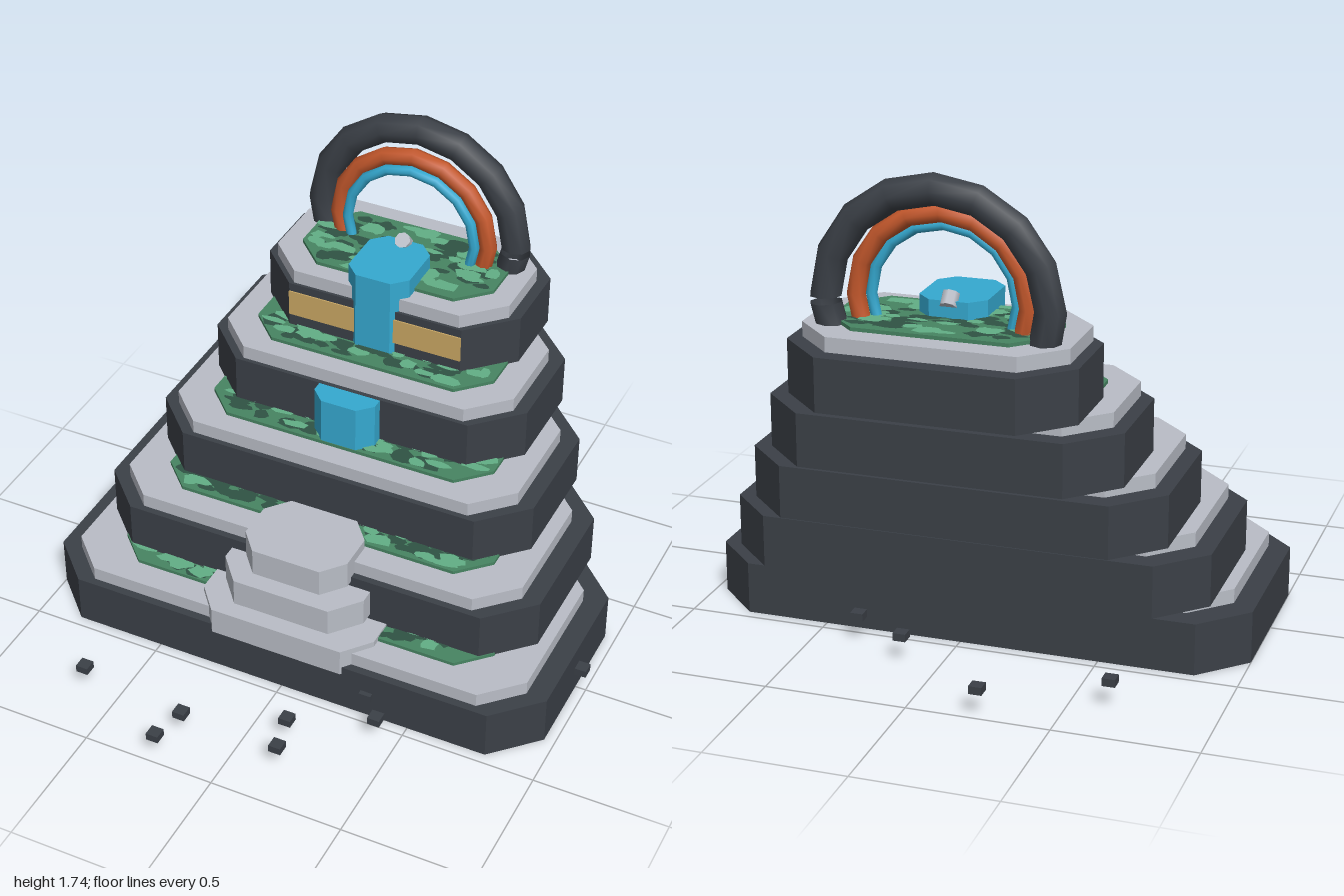
import * as THREE from 'three';
import { mergeGeometries } from 'three/addons/utils/BufferGeometryUtils.js';

const CX = -0.02; // symmetry line of the terraces

const mat = (name, color, extra = {}) => {
  const m = new THREE.MeshStandardMaterial({ color, ...extra });
  m.name = name;
  return m;
};

// Rectangle with cut corners, as [x, z] points around its own centre
function octagon(hx, hz, cx, cz = cx) {
  return [
    [hx, hz - cz], [hx - cx, hz], [cx - hx, hz], [-hx, hz - cz],
    [-hx, cz - hz], [cx - hx, -hz], [hx - cx, -hz], [hx, cz - hz],
  ];
}

// Upright prism on an octagonal plan, from y0 to y1
function slab(points, y0, y1) {
  const shape = new THREE.Shape(points.map(([x, z]) => new THREE.Vector2(x, -z)));
  const geo = new THREE.ExtrudeGeometry(shape, { depth: y1 - y0, bevelEnabled: false });
  return geo.rotateX(-Math.PI / 2).translate(0, y0, 0);
}

function seeded(seed) {
  return () => {
    seed = (seed * 16807) % 2147483647;
    return seed / 2147483647;
  };
}

// Irregular flat patches scattered inside an octagonal bed
function patches(hx, hz, c, y, count, rand) {
  const inside = (x, z) =>
    Math.abs(x) < hx && Math.abs(z) < hz && Math.abs(x) + Math.abs(z) < hx + hz - c;
  const list = [];
  for (let i = 0; i < count; i++) {
    const px = (rand() * 2 - 1) * hx, pz = (rand() * 2 - 1) * hz;
    const rx = 0.025 + rand() * 0.035, rz = 0.014 + rand() * 0.018;
    const pts = [];
    for (let k = 0; k < 9; k++) {
      const a = (k / 9) * Math.PI * 2, r = 0.7 + rand() * 0.5;
      pts.push(new THREE.Vector2(px + Math.cos(a) * rx * r, pz + Math.sin(a) * rz * r));
    }
    if (!pts.every((p) => inside(p.x, p.y))) continue;
    list.push(new THREE.ShapeGeometry(new THREE.Shape(pts)).rotateX(-Math.PI / 2));
  }
  return mergeGeometries(list).translate(0, y, 0);
}

export function createModel() {
  const model = new THREE.Group();
  model.name = 'terracedFountain';

  const wall = mat('charcoal', 0x3b4047);
  const stone = mat('pale stone', 0xb9bdc6);
  const grass = mat('grass green', 0x478462);
  const grassDark = mat('dark green', 0x2f5344);
  const grassLight = mat('light green', 0x62ae85);
  const water = mat('water blue', 0x35a9d0);
  const glass = mat('warm window', 0xc9a764);
  const copper = mat('orange', 0xc4582c);
  const ringDark = mat('ring charcoal', 0x3b4047, { side: THREE.DoubleSide });

  const add = (name, geo, material, x = 0, y = 0, z = 0, parent = model) => {
    const mesh = new THREE.Mesh(geo, material);
    mesh.name = name;
    mesh.position.set(x, y, z);
    parent.add(mesh);
    return mesh;
  };

  // Five terraces stepping up and back
  const rand = seeded(4711);
  for (let i = 0; i < 5; i++) {
    const tier = new THREE.Group();
    tier.name = 'terrace' + (i + 1);
    tier.position.set(CX, 0.2435 * i, -0.161 * i);
    model.add(tier);

    const hx = 0.98 - 0.12 * i, hz = 0.46 - 0.04 * i;
    add('terraceWall', slab(octagon(hx, hz, 0.16), 0, 0.188), wall, 0, 0, 0, tier);
    add('terraceCoping', slab(octagon(hx * 0.92, hz * 0.88, 0.135), 0.188, 0.24), stone, 0, 0, 0.025, tier);

    // Planted bed with mottled greens
    const gx = hx * 0.76, gz = hz * 0.62, gc = 0.11, zc = 0.7 * hz - gz + 0.008;
    add('plantedBed', slab(octagon(gx, gz, gc), 0.22, 0.253), grass, 0, 0, zc, tier);
    const n = Math.round(gx * gz * 1300);
    add('darkFoliage', patches(gx, gz, gc, 0.2555, n, rand), grassDark, 0, 0, zc, tier);
    add('lightFoliage', patches(gx, gz, gc, 0.258, Math.round(n * 0.6), rand), grassLight, 0, 0, zc, tier);
  }

  // Stone landings at the foot of the falls
  [
    { hx: 0.342, y: 0.157, hz: 0.245, c: 0.085 },
    { hx: 0.277, y: 0.285, hz: 0.2, c: 0.09 },
    { hx: 0.202, y: 0.413, hz: 0.155, c: 0.07 },
  ].forEach(({ hx, y, hz, c }) =>
    add('stoneLanding', slab(octagon(hx, hz, c, c * 1.2), y, y + 0.106), stone, CX, 0, 0.22));

  // Water blocks falling between terraces
  [[0.975, 1.287, -0.47], [0.735, 0.917, -0.19], [0.45, 0.512, -0.05]].forEach(([y0, y1, z]) =>
    add('waterfall', slab(octagon(0.12, 0.14, 0.052), y0, y1), water, CX, 0, z));

  // Tilted spout behind the top pool
  add('spout', new THREE.CylinderGeometry(0.03, 0.03, 0.05, 8), stone, CX, 1.287, -0.595).rotation.x = 0.7;

  // Lit windows on the top terrace
  for (const side of [-1, 1])
    add('window', new THREE.BoxGeometry(0.28, 0.1, 0.008), glass, CX + side * 0.2, 1.08, -0.343);

  // Three nested rings rising from the summit
  const ring = (name, r, tube, z, material, arc) =>
    add(name, new THREE.TorusGeometry(r, tube, 8, 16, arc), material, CX, 1.305, z);
  ring('outerRing', 0.385, 0.055, -0.72, ringDark, Math.PI * 2 - 0.06);
  ring('middleRing', 0.297, 0.033, -0.673, copper);
  ring('innerRing', 0.252, 0.02, -0.65, water);

  // Small blocks scattered around the base
  const blocks = [
    [-0.24, -0.97], [-0.635, -0.775], [0.98, 0], [0.42, 0.553], [0.14, 0.69], [0.17, 0.825],
    [-0.21, 0.825], [-0.24, 0.96], [-0.635, 0.77], [0.34, 0.455], [0.34, -0.555], [0.14, -0.665],
  ];
  const blockGeo = new THREE.BoxGeometry(0.046, 0.028, 0.046);
  blocks.forEach(([x, z]) => add('looseBlock', blockGeo, wall, x, 0.095, z));

  return model;
}
